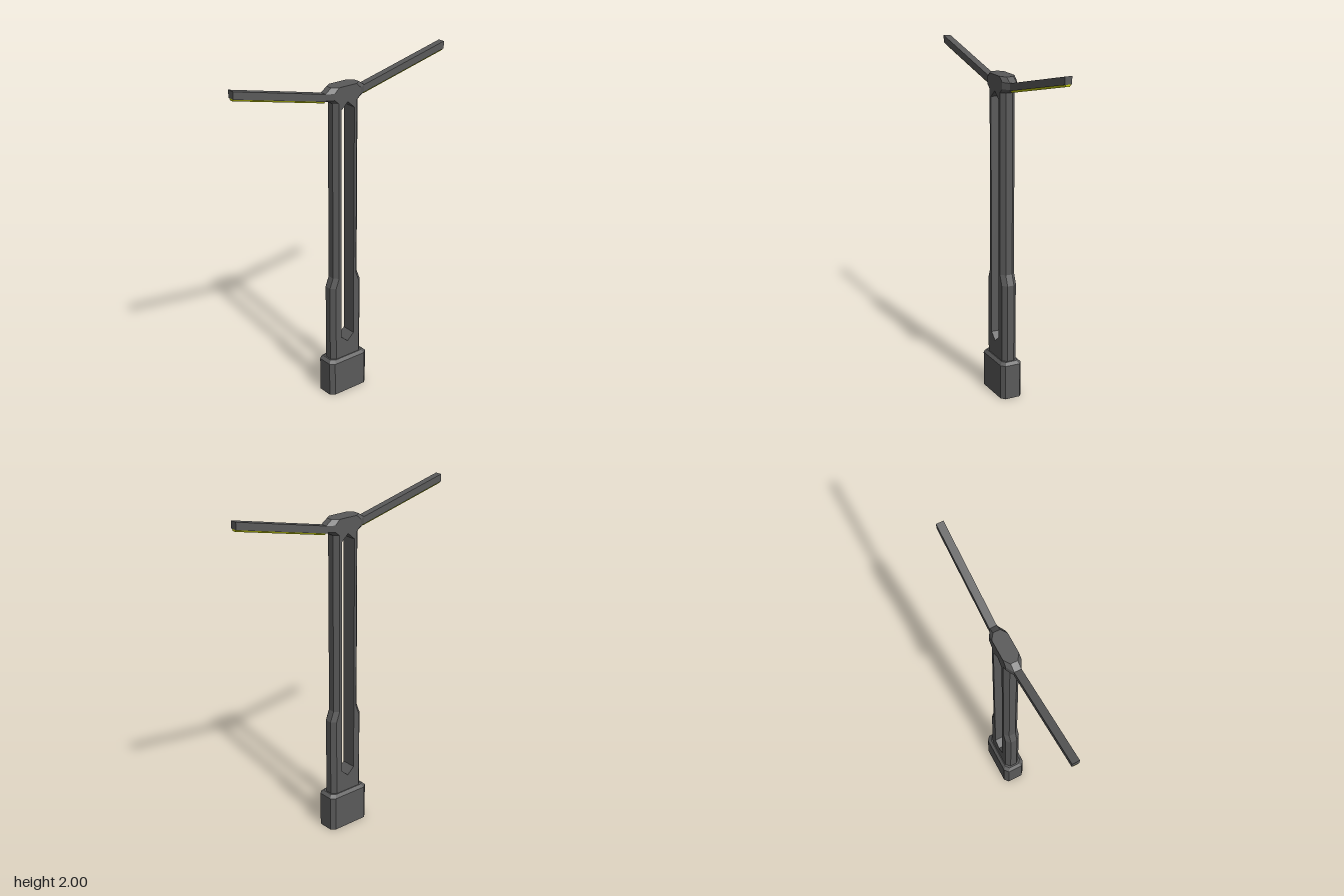
import * as THREE from 'three';

const gray = new THREE.MeshStandardMaterial({ color: 0x5a5a5a, flatShading: true });
gray.name = 'dark gray';
const yellow = new THREE.MeshStandardMaterial({ color: 0xc4cc08, flatShading: true });
yellow.name = 'lamp yellow';

// Skin a series of convex rings (counter-clockwise seen from the last ring) and cap both ends.
function loft(rings) {
  const pos = [];
  const tri = (a, b, c) => pos.push(...a, ...b, ...c);
  const n = rings[0].length;
  for (let i = 0; i < rings.length - 1; i++) {
    for (let k = 0; k < n; k++) {
      const j = (k + 1) % n;
      const [a, b, c, d] = [rings[i][k], rings[i][j], rings[i + 1][j], rings[i + 1][k]];
      tri(a, b, c);
      tri(a, c, d);
    }
  }
  const first = rings[0], last = rings[rings.length - 1];
  for (let k = 1; k < n - 1; k++) {
    tri(first[0], first[k + 1], first[k]);
    tri(last[0], last[k], last[k + 1]);
  }
  const geo = new THREE.BufferGeometry();
  geo.setAttribute('position', new THREE.Float32BufferAttribute(pos, 3));
  geo.computeVertexNormals();
  return geo;
}

// Horizontal rectangle with cut corners
function octagon(y, x, z, cx, cz) {
  return [[-x + cx, z], [x - cx, z], [x, z - cz], [x, -z + cz],
    [x - cx, -z], [-x + cx, -z], [-x, -z + cz], [-x, z - cz]].map(([px, pz]) => [px, y, pz]);
}

// Half of the post section, from the slot edge to the chamfered outer edge
function halfSection([y, inner, outer, cut]) {
  return [[inner, 0.045], [outer - cut, 0.045], [outer, 0.02], [outer, -0.02],
    [outer - cut, -0.045], [inner, -0.045]].map(([x, z]) => [x, y, z]);
}

// Sloping arm: a yz section carried along x, rising with distance
function slopedBar(x0, x1, section) {
  const topAt = (x) => 2 - (0.72 - x) * 0.234;
  return loft([x0, x1].map((x) => section.map(([dy, z]) => [x, topAt(x) + dy, z])));
}

export function createModel() {
  const model = new THREE.Group();
  model.name = 'streetLamp';
  const add = (parent, name, geo, mat) => {
    const mesh = new THREE.Mesh(geo, mat);
    mesh.name = name;
    parent.add(mesh);
  };

  // Foot block with bevelled top
  add(model, 'base', loft([
    octagon(0, 0.135, 0.066, 0.025, 0.021),
    octagon(0.208, 0.135, 0.066, 0.025, 0.021),
    octagon(0.225, 0.118, 0.05, 0.022, 0.018),
  ]), gray);

  // Slotted post flaring into the head: height, slot half width, outer half width, chamfer
  const postGeo = loft([
    [0.22, 0, 0.11, 0.025],
    [0.32, 0, 0.11, 0.025],
    [0.36, 0.045, 0.11, 0.025],
    [0.69, 0.045, 0.11, 0.025],
    [0.75, 0.045, 0.087, 0.025],
    [1.76, 0.045, 0.087, 0.025],
    [1.8, 0, 0.087, 0.025],
    [1.825, 0, 0.135, 0.045],
    [1.862, 0, 0.135, 0.045],
    [1.89, 0, 0.095, 0.035],
  ].map(halfSection));

  // Arm and the light strip under it
  const armGeo = slopedBar(0.1, 0.72, [[-0.042, 0.021], [-0.042, -0.021], [0, -0.021], [0, 0.021]]);
  const stripGeo = slopedBar(0.135, 0.718, [[-0.053, 0.01], [-0.053, -0.01], [-0.041, -0.018], [-0.041, 0.018]]);

  // Both sides are the same half turned about the centre
  for (const [side, turn] of [['left', 0], ['right', Math.PI]]) {
    const half = new THREE.Group();
    half.name = side + 'Half';
    half.rotation.y = turn;
    add(half, side + 'Post', postGeo, gray);
    add(half, side + 'Arm', armGeo, gray);
    add(half, side + 'LightStrip', stripGeo, yellow);
    model.add(half);
  }
  return model;
}
